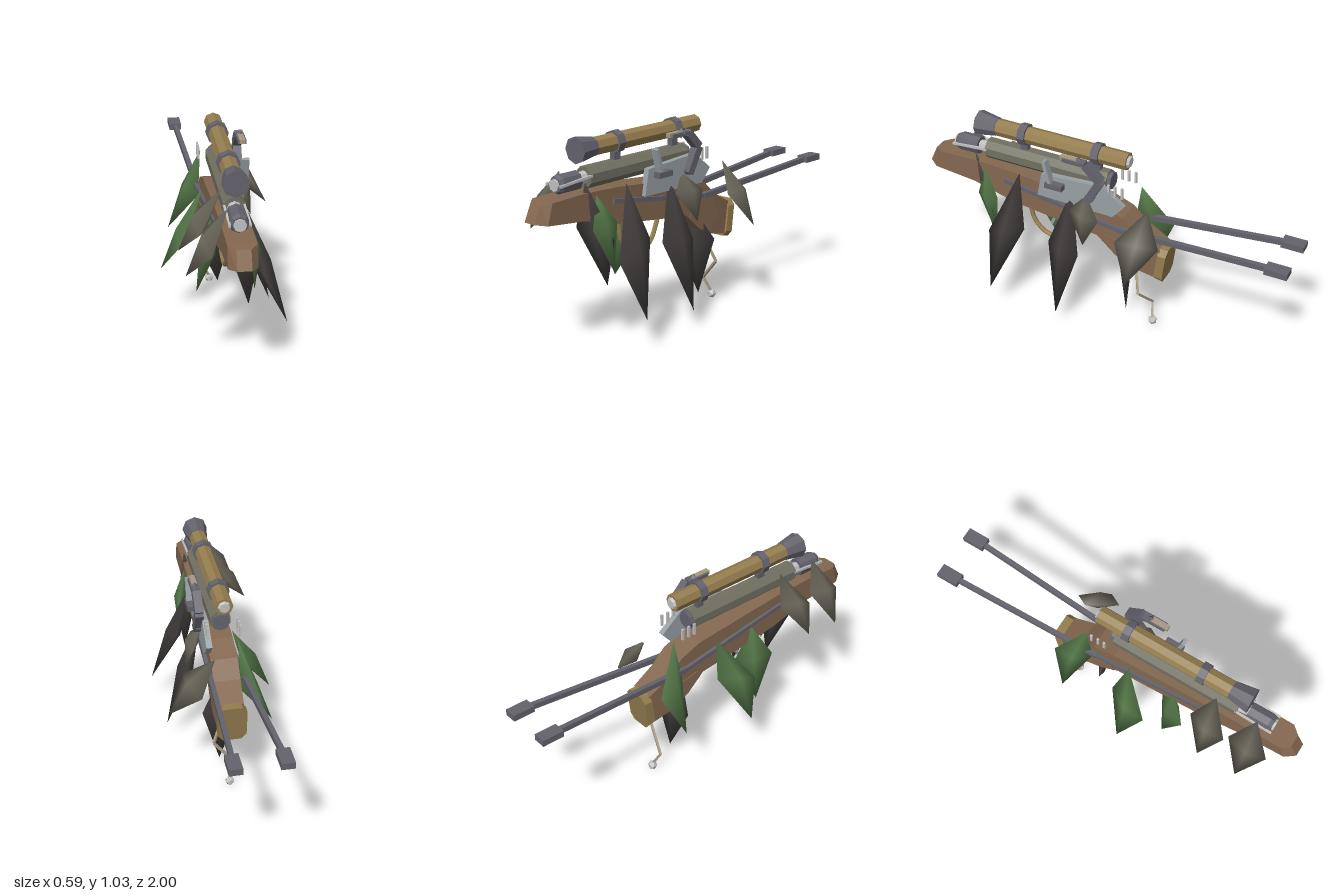
import * as THREE from 'three';

const mat = (name, color) => {
  const m = new THREE.MeshStandardMaterial({ color, flatShading: true, side: THREE.DoubleSide });
  m.name = name;
  return m;
};
const V = (x, y, z) => new THREE.Vector3(x, y, z);

export function createModel() {
  const wood = mat('wood', 0x846850), brass = mat('brass', 0x957e4f), steel = mat('darkSteel', 0x64636d);
  const plate = mat('paleSteel', 0x98a1a5), barrelMat = mat('barrelGrey', 0x717062), silver = mat('silver', 0xc2c2c2);
  const cordMat = mat('cord', 0xa69983), dark = mat('charcoalFeather', 0x423e3d);
  const grey = mat('greyFeather', 0x6d695d), green = mat('greenFeather', 0x56794a);
  for (const m of [dark, grey, green]) m.flatShading = false;

  const root = new THREE.Group();
  const add = (name, geo, m) => {
    const mesh = new THREE.Mesh(geo, m);
    mesh.name = name;
    root.add(mesh);
    return mesh;
  };
  const box = (name, m, w, h, d, x, y, z) => {
    const b = add(name, new THREE.BoxGeometry(w, h, d), m);
    b.position.set(x, y, z);
    return b;
  };
  // round part lying along z, first radius at the front
  const rod = (name, m, rFront, rBack, zFront, zBack, x, y, turn = 0, sides = 8) => {
    const g = new THREE.CylinderGeometry(rFront, rBack, zFront - zBack, sides).rotateY(turn).rotateX(Math.PI / 2);
    add(name, g, m).position.set(x, y, (zFront + zBack) / 2);
  };
  // rectangular bar from a to b
  const bar = (name, m, a, b, w, h) => {
    const o = add(name, new THREE.BoxGeometry(w, h, a.distanceTo(b)), m);
    o.position.copy(a).add(b).multiplyScalar(0.5);
    o.lookAt(b);
  };

  // loft of one outline through sections [zTop, yTop, zBottom, yBottom, halfWidth], front to back
  const loft = (name, m, outline, sections) => {
    const rings = sections.map(([zt, yt, zb, yb, w]) =>
      outline.map(([u, v]) => V(u * w, yb + (yt - yb) * v, zb + (zt - zb) * v)));
    const pos = [], n = outline.length, last = rings.length - 1;
    const tri = (...p) => p.forEach(q => pos.push(q.x, q.y, q.z));
    for (let j = 0; j < n; j++) {
      const k = (j + 1) % n;
      for (let i = 0; i < last; i++) {
        tri(rings[i][j], rings[i + 1][j], rings[i][k]);
        tri(rings[i][k], rings[i + 1][j], rings[i + 1][k]);
      }
      if (j > 0 && k > 0) {
        tri(rings[0][0], rings[0][j], rings[0][k]);
        tri(rings[last][0], rings[last][k], rings[last][j]);
      }
    }
    const g = new THREE.BufferGeometry();
    g.setAttribute('position', new THREE.Float32BufferAttribute(pos, 3));
    g.computeVertexNormals();
    add(name, g, m);
  };
  const square = [[1, 0], [1, 1], [-1, 1], [-1, 0]];
  const chamfered = [[0.65, 0], [1, 0.15], [1, 0.85], [0.65, 1], [-0.65, 1], [-1, 0.85], [-1, 0.15], [-0.65, 0]];

  // wooden stock, narrowed at the nose, and butt plate
  loft('stock', wood, square, [
    [0.96, 0.77, 1.0, 0.685, 0.033], [0.92, 0.775, 0.95, 0.675, 0.067], [0.72, 0.78, 0.72, 0.65, 0.067],
    [0.5, 0.77, 0.5, 0.59, 0.067], [0.2, 0.74, 0.2, 0.55, 0.067], [0, 0.72, 0.02, 0.53, 0.067],
    [-0.12, 0.675, -0.08, 0.44, 0.067], [-0.2, 0.6, -0.18, 0.39, 0.067], [-0.32, 0.535, -0.29, 0.365, 0.06]]);
  loft('buttPlate', brass, chamfered, [[-0.315, 0.54, -0.29, 0.35, 0.071], [-0.36, 0.54, -0.335, 0.34, 0.071]]);
  for (const s of [-1, 1]) bar('stockInlay', wood, V(s * 0.067, 0.53, -0.01), V(s * 0.067, 0.488, -0.22), 0.008, 0.045);

  // barrel and muzzle
  rod('barrel', barrelMat, 0.054, 0.054, 0.66, -0.02, 0, 0.835, Math.PI / 8);
  rod('breech', steel, 0.045, 0.045, 0, -0.04, 0, 0.835);
  rod('barrelNeck', silver, 0.025, 0.035, 0.73, 0.65, 0, 0.835);
  rod('muzzle', steel, 0.047, 0.047, 0.82, 0.71, 0, 0.832);
  rod('muzzleLip', steel, 0.037, 0.047, 0.84, 0.82, 0, 0.832);
  rod('muzzleCap', silver, 0.03, 0.03, 0.85, 0.82, 0, 0.832);
  for (const s of [-1, 1]) bar('muzzlePin', silver, V(s * 0.046, 0.832, 0.85), V(s * 0.046, 0.848, 0.65), 0.01, 0.012);

  // scope with rings and mounts
  rod('scopeTube', brass, 0.045, 0.045, 0.61, -0.12, 0, 0.97);
  rod('scopeBell', steel, 0.065, 0.047, 0.71, 0.6, 0, 0.97);
  rod('eyepiece', silver, 0.038, 0.025, -0.11, -0.133, 0, 0.97);
  for (const z of [0.45, 0.045]) {
    rod('scopeRing', steel, 0.056, 0.056, z + 0.02, z - 0.02, 0, 0.97);
    box('scopeMount', steel, 0.03, 0.06, 0.04, 0, 0.9, z);
  }

  // lock plate on the left side
  const outline = [[0.34, 0.695], [0.315, 0.825], [-0.02, 0.845], [-0.135, 0.755], [-0.075, 0.685]];
  const lock = new THREE.ExtrudeGeometry(new THREE.Shape(outline.map(([z, y]) => new THREE.Vector2(-z, y))),
    { depth: 0.03, bevelEnabled: false }).rotateY(Math.PI / 2);
  add('lockPlate', lock, plate).position.x = 0.06;
  // hammer, flint, pan and striking plate
  const hammer = [V(0.105, 0.965, 0.18), V(0.105, 0.965, 0.06), V(0.105, 0.885, -0.02), V(0.105, 0.76, 0.05)];
  for (let i = 0; i < 3; i++) bar('hammer', steel, hammer[i], hammer[i + 1], 0.042, i ? 0.04 : 0.02);
  add('hammerJaw', new THREE.OctahedronGeometry(0.026), steel).position.set(0.105, 0.968, 0.1);
  box('flint', cordMat, 0.028, 0.02, 0.09, 0.105, 0.971, 0.15);
  bar('strikingPlate', plate, V(0.105, 0.92, 0.285), V(0.105, 0.8, 0.255), 0.038, 0.018);
  box('pan', steel, 0.045, 0.028, 0.095, 0.105, 0.79, 0.232);
  const pivot = add('hammerPivot', new THREE.CylinderGeometry(0.026, 0.026, 0.03, 6).rotateZ(Math.PI / 2), steel);
  pivot.position.set(0.1, 0.775, 0.04);

  // upright pins at the breech
  for (const x of [-0.08, 0.08]) for (const z of [-0.05, -0.085, -0.122])
    box('breechPin', silver, 0.01, 0.062, 0.012, x, 0.83, z);

  // long rear arms with end blocks
  for (const s of [-1, 1]) {
    const bend = V(s * 0.078, 0.61, -0.1), end = V(s * 0.115, 0.665, -0.9);
    bar('armStrap', steel, V(s * 0.07, 0.71, 0.54), bend, 0.018, 0.022);
    bar('rearArm', steel, bend, end, 0.024, 0.028);
    box('armBlock', steel, 0.065, 0.033, 0.115, s * 0.117, 0.667, -0.9425);
  }

  // trigger and guard
  const guard = new THREE.CatmullRomCurve3([V(0, 0.59, 0.44), V(0, 0.46, 0.41), V(0, 0.395, 0.33),
    V(0, 0.42, 0.22), V(0, 0.55, 0.15)]);
  add('triggerGuard', new THREE.TubeGeometry(guard, 14, 0.012, 6), brass);
  bar('trigger', plate, V(0, 0.57, 0.27), V(0, 0.47, 0.31), 0.015, 0.015);

  // hanging charm
  const cord = [V(0, 0.41, -0.165), V(0.07, 0.235, -0.212), V(-0.045, 0.115, -0.245), V(-0.004, 0.04, -0.263)];
  for (let i = 0; i < 3; i++) bar('charmCord', cordMat, cord[i], cord[i + 1], 0.012, 0.012);
  add('charm', new THREE.IcosahedronGeometry(0.025), silver).position.set(-0.003, 0.028, -0.265);

  // feathers: root, two side corners and tip, swollen along the middle by half thickness h
  const feather = (m, h, ...c) => {
    const [t, a, b, p] = c.map(q => V(...q));
    const n = p.clone().sub(t).cross(b.clone().sub(a)).normalize().multiplyScalar(h);
    const mid = a.clone().add(b).multiplyScalar(0.5);
    const g = new THREE.BufferGeometry().setFromPoints([t, a, p, b, mid.clone().add(n), mid.clone().sub(n)]);
    g.setIndex([0, 1, 4, 1, 2, 4, 2, 3, 4, 3, 0, 4, 1, 0, 5, 2, 1, 5, 3, 2, 5, 0, 3, 5]);
    g.computeVertexNormals();
    add('feather', g, m);
  };
  feather(dark, 0.042, [0.07, 0.78, 0.45], [0.16, 0.44, 0.595], [0.16, 0.51, 0.385], [0.278, 0.17, 0.535]);
  feather(dark, 0.042, [0.07, 0.765, 0.155], [0.13, 0.455, 0.265], [0.165, 0.445, 0.08], [0.25, 0.11, 0.17]);
  feather(dark, 0.035, [0.06, 0.83, 0.71], [-0.015, 0.6, 0.7], [0.125, 0.54, 0.59], [0.08, 0.31, 0.595]);
  feather(dark, 0.03, [0, 0.57, -0.075], [-0.08, 0.31, -0.09], [0.115, 0.38, -0.145], [0.025, 0.075, -0.125]);
  feather(grey, 0.035, [0.08, 0.765, 0.07], [0.12, 0.68, 0.155], [0.14, 0.67, -0.02], [0.17, 0.525, 0.05]);
  feather(grey, 0.042, [0.07, 0.765, -0.255], [0.205, 0.63, -0.14], [0.15, 0.61, -0.35], [0.295, 0.465, -0.24]);
  feather(green, 0.03, [0.07, 0.76, 0.65], [0.085, 0.6, 0.69], [0.115, 0.62, 0.56], [0.11, 0.38, 0.58]);
  feather(green, 0.045, [-0.06, 0.8, -0.165], [-0.075, 0.57, -0.125], [-0.14, 0.56, -0.31], [-0.225, 0.355, -0.22]);
  feather(green, 0.042, [-0.08, 0.7, 0.09], [-0.205, 0.46, 0.25], [-0.155, 0.52, 0.04], [-0.295, 0.3, 0.15]);
  feather(green, 0.04, [-0.07, 0.66, 0.34], [-0.135, 0.49, 0.43], [-0.03, 0.45, 0.26], [-0.137, 0.25, 0.325]);
  feather(grey, 0.045, [-0.045, 0.88, 0.77], [-0.13, 0.7, 0.885], [-0.14, 0.75, 0.68], [-0.235, 0.57, 0.785]);
  feather(grey, 0.045, [-0.045, 0.88, 0.55], [-0.155, 0.71, 0.665], [-0.14, 0.76, 0.47], [-0.248, 0.6, 0.58]);

  return root;
}
